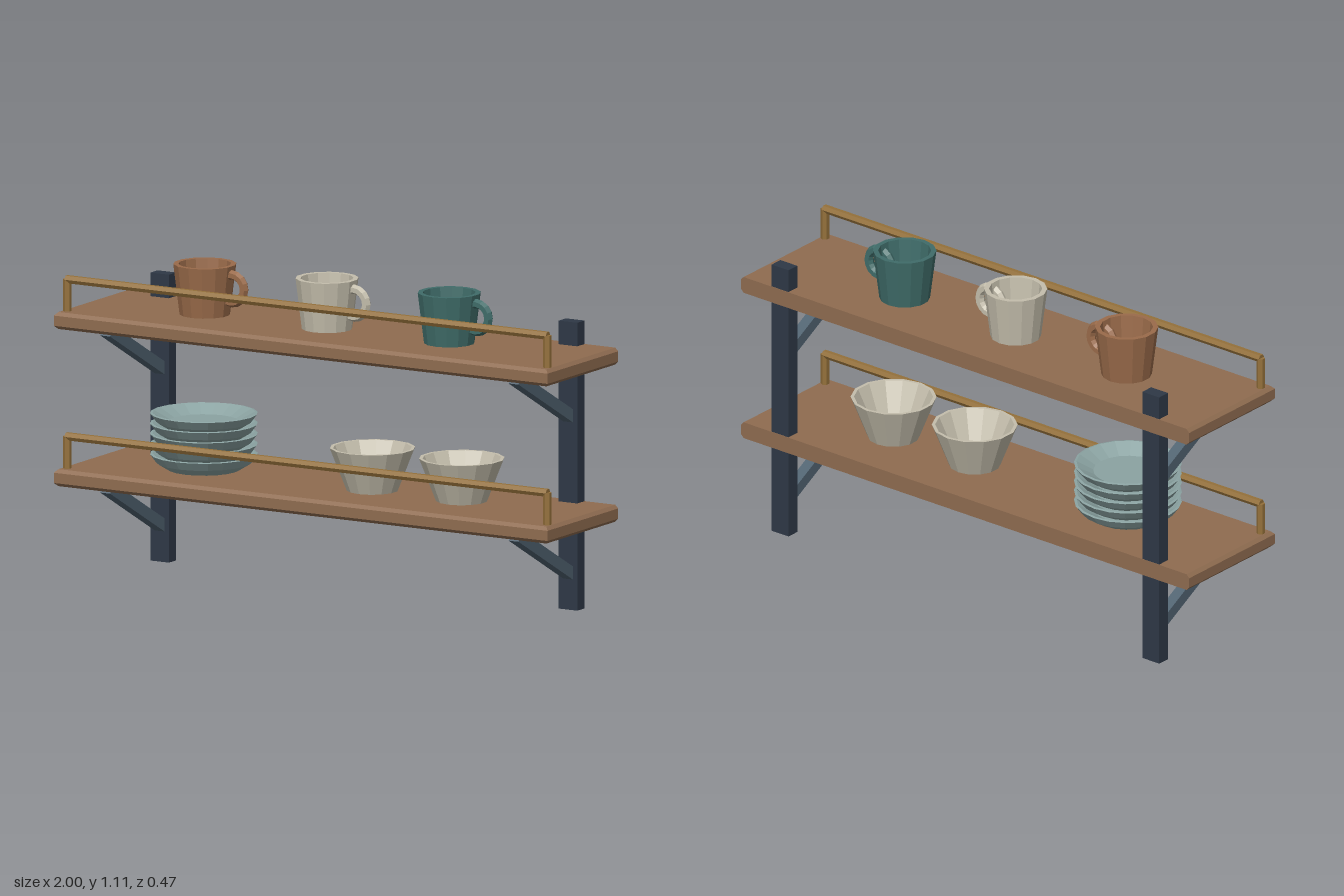
import * as THREE from 'three';

const paint = (name, color) => {
  const m = new THREE.MeshStandardMaterial({ color });
  m.name = name;
  return m;
};

// Give every face its own normal
function faceted(geometry) {
  const g = geometry.index ? geometry.toNonIndexed() : geometry;
  g.computeVertexNormals();
  return g;
}

const lathe = (points, sides) =>
  faceted(new THREE.LatheGeometry(points.map(([r, y]) => new THREE.Vector2(r, y)), sides));

// Board with chamfered front and ends, square at the back
function boardGeometry(width, height, depth, chamfer) {
  const g = new THREE.BoxGeometry(width, height, depth, 1, 3, 1);
  const p = g.attributes.position;
  for (let i = 0; i < p.count; i++) {
    const y = p.getY(i);
    if (Math.abs(y) > height * 0.4) {
      p.setX(i, p.getX(i) - Math.sign(p.getX(i)) * chamfer);
      if (p.getZ(i) > 0) p.setZ(i, p.getZ(i) - chamfer);
    } else {
      p.setY(i, Math.sign(y) * (height / 2 - chamfer));
    }
  }
  return faceted(g);
}

export function createModel() {
  const wood = paint('wood', 0x8f6c50);
  const steel = paint('dark steel', 0x2e3846);
  const braceSteel = paint('blue steel', 0x506270);
  const brass = paint('brass', 0x94703a);
  const clay = paint('clay', 0x9a6b4a);
  const cream = paint('cream', 0xc4beac);
  const teal = paint('teal', 0x3f6c69);
  const plateGlaze = paint('pale blue glaze', 0x8ba3a2);

  const model = new THREE.Group();
  model.name = 'wallShelf';
  const add = (parent, name, geometry, material, x = 0, y = 0, z = 0) => {
    const mesh = new THREE.Mesh(geometry, material);
    mesh.name = name;
    mesh.position.set(x, y, z);
    parent.add(mesh);
    return mesh;
  };

  // Wall uprights
  for (const side of [-1, 1]) {
    add(model, 'upright', new THREE.BoxGeometry(0.075, 1.015, 0.048), steel, side * 0.827, 0.5075, -0.209);
  }

  // Shelves, each with a guard rail and two slanted braces
  const board = boardGeometry(2, 0.06, 0.47, 0.012);
  const rail = faceted(new THREE.CylinderGeometry(0.015, 0.015, 1.95, 6));
  const railPost = faceted(new THREE.CylinderGeometry(0.015, 0.015, 0.115, 6));
  const braceAngle = 0.492, braceLength = 0.428, braceThickness = 0.041;
  const braceGeometry = new THREE.BoxGeometry(0.04, braceThickness, braceLength);
  braceGeometry.translate(0, braceThickness / 2, -braceLength / 2);
  for (const top of [0.378, 0.932]) {
    const shelf = new THREE.Group();
    shelf.name = 'shelf';
    shelf.position.y = top;
    model.add(shelf);
    add(shelf, 'board', board, wood, 0, -0.03, 0);
    add(shelf, 'guardRail', rail, brass, 0, 0.112, 0.191).rotation.z = Math.PI / 2;
    for (const side of [-1, 1]) {
      add(shelf, 'railPost', railPost, brass, side * 0.972, 0.0555, 0.191);
      add(shelf, 'brace', braceGeometry, braceSteel, side * 0.827, -0.076, 0.177).rotation.x = -braceAngle;
    }
  }

  // Mugs with ring handles
  const cup = lathe([[0, 0], [0.088, 0], [0.11, 0.178], [0.092, 0.178], [0.075, 0.02], [0, 0.02]], 14);
  const handle = faceted(new THREE.TorusGeometry(0.049, 0.017, 6, 16));
  for (const [x, glaze] of [[-0.538, clay], [-0.043, cream], [0.452, teal]]) {
    const mug = new THREE.Group();
    mug.name = 'mug';
    mug.position.set(x, 0.932, -0.011);
    model.add(mug);
    add(mug, 'cup', cup, glaze);
    add(mug, 'handle', handle, glaze, 0.11, 0.1, 0);
  }

  // Stack of plates
  const plate = lathe([[0, 0], [0.125, 0], [0.166, 0.025], [0.187, 0.054], [0.178, 0.056],
    [0.12, 0.025], [0, 0.025]], 20);
  for (let i = 0; i < 5; i++) {
    add(model, 'plate', plate, plateGlaze, -0.535, 0.388 + i * 0.036, 0);
  }

  // Bowls
  const bowl = lathe([[0, 0], [0.09, 0], [0.149, 0.15], [0.137, 0.15], [0.075, 0.02], [0, 0.02]], 14);
  for (const x of [0.146, 0.508]) add(model, 'bowl', bowl, cream, x, 0.383, -0.003);

  return model;
}
